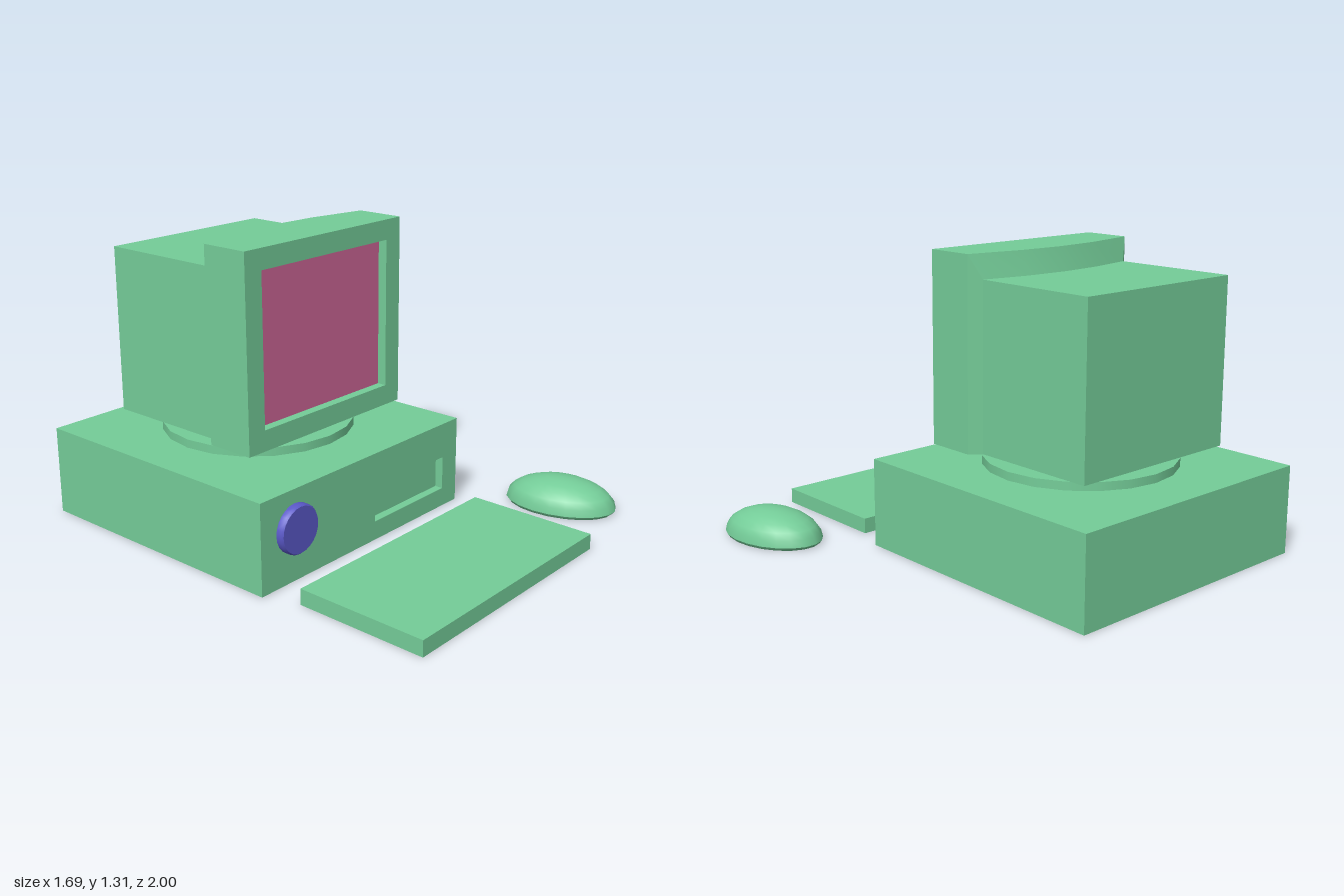
import * as THREE from 'three';
import { toCreasedNormals } from 'three/addons/utils/BufferGeometryUtils.js';

const green = new THREE.MeshStandardMaterial({ color: 0x74cc98 });
const pink = new THREE.MeshStandardMaterial({ color: 0xcc6696 });
const blue = new THREE.MeshStandardMaterial({ color: 0x5a58c8 });

function addMesh(parent, name, geometry, material, x = 0, y = 0, z = 0) {
  const mesh = new THREE.Mesh(geometry, material);
  mesh.name = name;
  mesh.position.set(x, y, z);
  parent.add(mesh);
  return mesh;
}

// Rectangular loop: top columns left to right, then bottom columns right to left.
// zs gives one depth per column; xs the column positions.
function loop(xs, y0, y1, zs) {
  const depth = (i) => (Array.isArray(zs) ? zs[i] : zs);
  const top = xs.map((x, i) => [x, y1, depth(i)]);
  const bottom = xs.map((x, i) => [x, y0, depth(i)]).reverse();
  return top.concat(bottom);
}

// Skin over loops running from back to front, closed at the back and optionally at the front.
function loft(loops, frontCap) {
  const out = [];
  const quad = (a, b, c, d) => out.push(...a, ...b, ...c, ...a, ...c, ...d);
  const n = loops[0].length;
  for (let k = 0; k < loops.length - 1; k++) {
    const a = loops[k], b = loops[k + 1];
    for (let i = 0; i < n; i++) {
      const j = (i + 1) % n;
      quad(a[i], b[i], b[j], a[j]);
    }
  }
  const back = loops[0], front = loops[loops.length - 1];
  for (let i = 0; i < n / 2 - 1; i++) {
    quad(back[i], back[i + 1], back[n - 2 - i], back[n - 1 - i]);
    if (frontCap) quad(front[i], front[n - 1 - i], front[n - 2 - i], front[i + 1]);
  }
  const geometry = new THREE.BufferGeometry();
  geometry.setAttribute('position', new THREE.Float32BufferAttribute(out, 3));
  return toCreasedNormals(geometry, 0.45);
}

function spun(points, segments) {
  const profile = points.map(([r, y]) => new THREE.Vector2(r, y));
  return toCreasedNormals(new THREE.LatheGeometry(profile, segments), 0.9);
}

export function createModel() {
  const model = new THREE.Group();
  model.name = 'desktopComputer';
  const midX = -0.223;

  // Case with a recessed drive slot in its front
  const caseX = [-0.85, 0.405], slotX = [-0.168, 0.305];
  addMesh(model, 'case', loft([
    loop(caseX, 0, 0.394, -1),
    loop(caseX, 0, 0.394, 0.258),
    loop(slotX, 0.085, 0.235, 0.258),
    loop(slotX, 0.085, 0.235, 0.22),
  ], true), green);

  // Round button on the case front
  const button = addMesh(model, 'powerButton',
    spun([[0, 0], [0.105, 0], [0.105, 0.025], [0.099, 0.033], [0, 0.033]], 24),
    blue, -0.66, 0.229, 0.258);
  button.rotation.x = Math.PI / 2;

  // Turntable under the monitor
  addMesh(model, 'turntable', new THREE.CylinderGeometry(0.423, 0.423, 0.037, 20),
    green, midX, 0.42, -0.37);

  // Monitor: tube box, bevelled step with a bowed back edge, bezel and screen recess
  const monitor = new THREE.Group();
  monitor.name = 'monitor';
  model.add(monitor);
  const tubeX = [-0.64, -0.43, midX, -0.016, 0.194];
  const bezelX = [-0.69, -0.43, midX, -0.016, 0.244];
  const screenX = [-0.6, -0.41, midX, -0.035, 0.155];
  const y0 = 0.477, y1 = 1.307, s0 = 0.567, s1 = 1.219;
  addMesh(monitor, 'monitorHousing', loft([
    loop(tubeX, y0, 1.204, -0.788),
    loop(tubeX, y0, 1.204, [-0.213, -0.252, -0.265, -0.252, -0.213]),
    loop(bezelX, y0, y1, [-0.175, -0.225, -0.239, -0.225, -0.175]),
    loop(bezelX, y0, y1, 0.045),
    loop(screenX, s0, s1, 0.045),
    loop(screenX, s0, s1, 0.003),
  ], false), green);
  addMesh(monitor, 'screen', new THREE.PlaneGeometry(0.755, s1 - s0),
    pink, (-0.6 + 0.155) / 2, (s0 + s1) / 2, 0.003);

  // Keyboard slab
  addMesh(model, 'keyboard', new THREE.BoxGeometry(1.145, 0.069, 0.59),
    green, -0.223, 0.0345, 0.705);

  // Mouse: oval dome with a narrow undercut rim
  const dome = [[0, 0], [0.95, 0], [1, 0.014]];
  for (let i = 1; i <= 6; i++) {
    const a = (i / 6) * Math.PI / 2;
    dome.push([i === 6 ? 0 : Math.cos(a), 0.014 + 0.12 * Math.sin(a)]);
  }
  const mouse = addMesh(model, 'mouse', spun(dome, 20), green, 0.672, 0, 0.657);
  mouse.scale.set(0.167, 1, 0.254);
  mouse.rotation.y = 0.22;

  return model;
}
